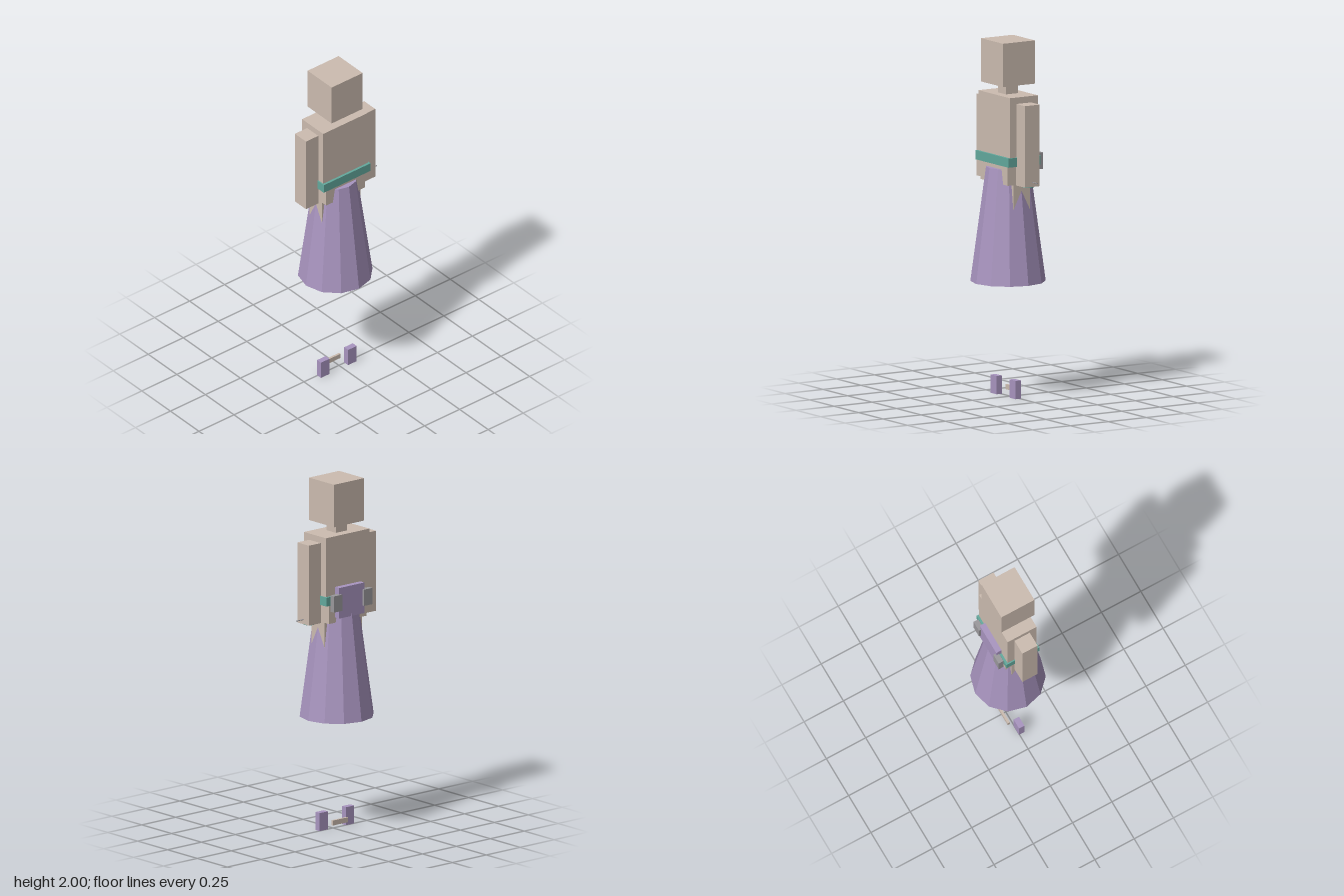
import * as THREE from 'three';

const flat = (name, color) => {
  const m = new THREE.MeshStandardMaterial({ color });
  m.name = name;
  m.flatShading = true;
  return m;
};

export function createModel() {
  const stone = flat('beige', 0xccbcb0);
  const purple = flat('purple', 0xa995c0);
  const teal = flat('teal', 0x63a99d);
  const grey = flat('grey', 0x9a989c);

  const group = new THREE.Group();
  const cx = -0.026; // body axis

  const add = (name, geometry, material, x, y, z) => {
    const mesh = new THREE.Mesh(geometry, material);
    mesh.name = name;
    mesh.position.set(x, y, z);
    group.add(mesh);
    return mesh;
  };
  // Box given by its centre in x, width, and its y and z ranges
  const box = (name, material, x, w, y0, y1, z0, z1) =>
    add(name, new THREE.BoxGeometry(w, y1 - y0, z1 - z0), material, x, (y0 + y1) / 2, (z0 + z1) / 2);

  // Head, neck and torso
  box('head', stone, cx, 0.222, 1.757, 2, -0.106, 0.104);
  box('neck', stone, cx, 0.082, 1.69, 1.77, -0.041, 0.039);
  box('torso', stone, cx, 0.32, 1.33, 1.7, -0.094, 0.09);
  box('belt', teal, cx, 0.334, 1.312, 1.363, -0.106, 0.104);
  box('hips', stone, cx, 0.276, 1.205, 1.33, -0.094, 0.09);

  // Paired parts
  for (const [side, s] of [['left', 1], ['right', -1]]) {
    box(side + 'Arm', stone, cx + s * 0.203, 0.089, 1.206, 1.664, -0.05, 0.047);
    box(side + 'Thigh', stone, cx + s * 0.082, 0.112, 0.75, 1.25, -0.057, 0.053);
    box(side + 'Pouch', grey, cx + s * 0.111, 0.061, 1.28, 1.373, -0.14, -0.11);
    box(side + 'Foot', purple, cx + s * 0.097, 0.061, 0, 0.103, -0.003, 0.031);
  }

  // Twelve-sided skirt
  add('skirt', new THREE.CylinderGeometry(0.122, 0.209, 0.643, 12), purple, cx, 0.9665, -0.001);

  // Pack on the lower back
  box('backPack', purple, cx, 0.185, 1.235, 1.41, -0.128, -0.09);

  // Disc under the left hand and the pin beside it
  add('handDisc', new THREE.CylinderGeometry(0.033, 0.033, 0.01, 12), teal, 0.178, 1.204, -0.002);
  const pin = add('handPin', new THREE.CylinderGeometry(0.003, 0.003, 0.08, 8), grey, 0.232, 1.232, -0.002);
  pin.rotation.z = Math.PI / 2;

  // Small bar between the feet
  box('footBar', stone, cx, 0.11, 0.026, 0.054, -0.034, -0.021);

  return group;
}
